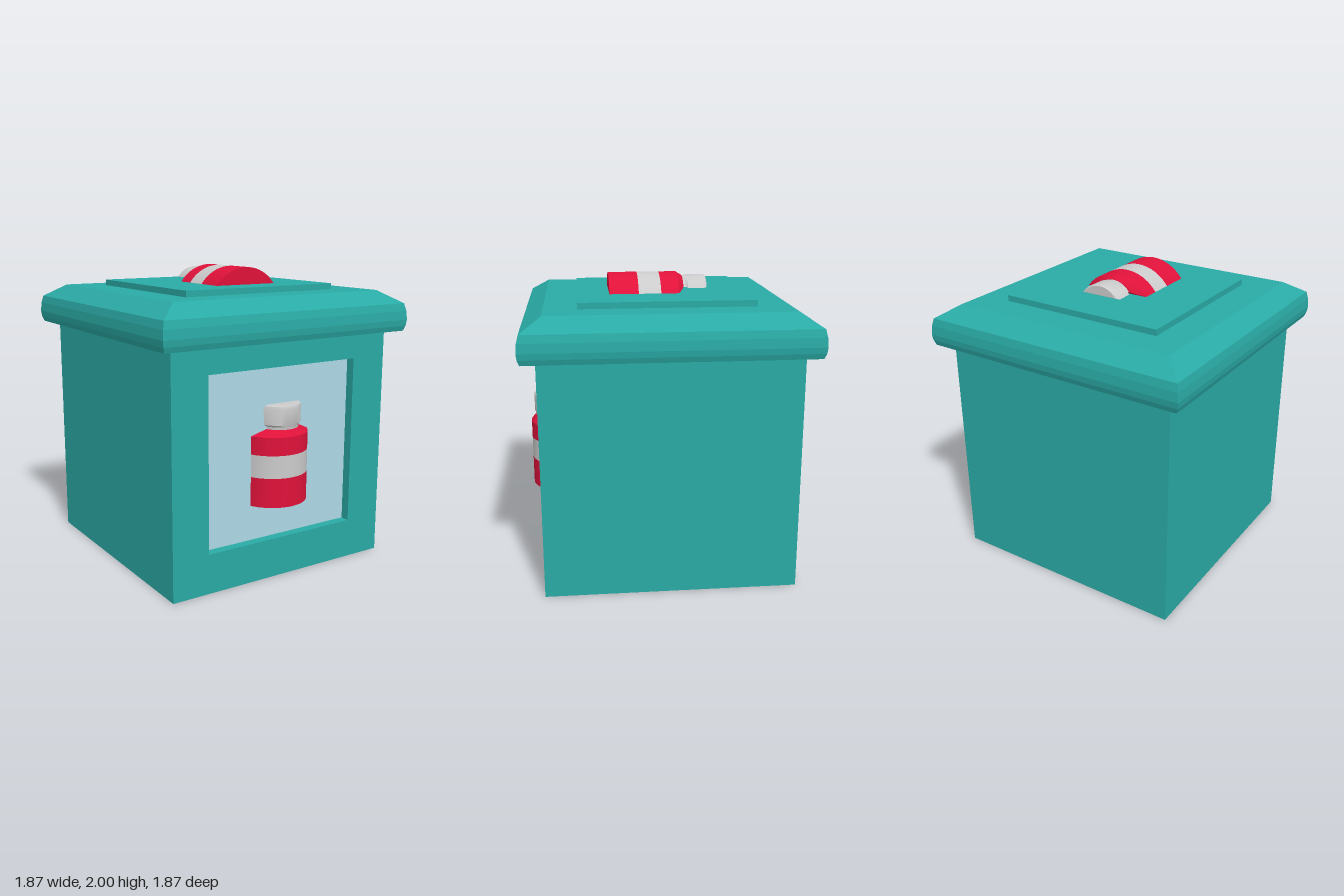
import * as THREE from 'three';
import { toCreasedNormals } from 'three/addons/utils/BufferGeometryUtils.js';

const mat = (color, extra = {}) => new THREE.MeshStandardMaterial({ color, ...extra });
const teal = mat(0x2aaaa5, { flatShading: true });
const paleBlue = mat(0xadd8e6);
const red = mat(0xe0123a);
const grey = mat(0xcccccc);

function add(parent, name, geometry, material, x = 0, y = 0, z = 0) {
  const mesh = new THREE.Mesh(geometry, material);
  mesh.name = name;
  mesh.position.set(x, y, z);
  parent.add(mesh);
  return mesh;
}

// Flat-backed dome section, scaled along y by a profile of [y, half width]
function loftDome(profile, width, depth, n = 20) {
  const R = (width * width + depth * depth) / (2 * depth);
  const a = Math.acos((R - depth) / R);
  const pos = [], idx = [], ring = n + 1;
  for (const [y, w] of profile) {
    const s = w / width;
    for (let j = 0; j <= n; j++) {
      const t = a * (2 * j / n - 1);
      pos.push(s * R * Math.sin(t), y, s * (R * (Math.cos(t) - Math.cos(a)) - depth / 2));
    }
  }
  const last = (profile.length - 1) * ring;
  for (let i = 0; i < last; i += ring) {
    for (let j = 0; j < ring; j++) {
      const k = (j + 1) % ring;
      idx.push(i + j, i + k, i + ring + k, i + j, i + ring + k, i + ring + j);
    }
  }
  for (let j = 1; j < n; j++) idx.push(0, j + 1, j, last, last + j, last + j + 1);
  const g = new THREE.BufferGeometry();
  g.setAttribute('position', new THREE.Float32BufferAttribute(pos, 3));
  g.setIndex(idx);
  return toCreasedNormals(g, 0.5);
}

// Half-relief bottle standing along y, bulging towards +z
function makeBottle(name, w, depth) {
  const bottle = new THREE.Group();
  bottle.name = name;
  const part = (n, profile, m) => add(bottle, n, loftDome(profile, w, depth), m);
  part('bottleBase', [[0, w], [0.195, w]], red);
  part('bottleLabel', [[0.195, w], [0.345, w]], grey);
  part('bottleShoulder', [[0.345, w], [0.465, w], [0.505, 0.13]], red);
  part('bottleCap', [[0.505, 0.122], [0.522, 0.124], [0.535, 0.143], [0.64, 0.146], [0.657, 0.138], [0.665, 0.122]], grey);
  return bottle;
}

export function createModel() {
  const model = new THREE.Group();
  model.name = 'box';

  // Body with a recessed window in the front
  const faceZ = 0.83, panelZ = 0.765, backZ = -0.835, top = 1.58;
  add(model, 'body', new THREE.BoxGeometry(1.66, top, panelZ - backZ), teal, 0, top / 2, (panelZ + backZ) / 2);
  const rect = (C, x0, y0, x1, y1) => new C([[x0, y0], [x1, y0], [x1, y1], [x0, y1]].map(p => new THREE.Vector2(...p)));
  const frame = rect(THREE.Shape, -0.83, 0, 0.83, top);
  frame.holes.push(rect(THREE.Path, -0.572, 0.265, 0.566, 1.405));
  add(model, 'frontFrame', new THREE.ExtrudeGeometry(frame, { depth: faceZ - panelZ, bevelEnabled: false }), teal, 0, 0, panelZ);
  add(model, 'windowPanel', new THREE.PlaneGeometry(1.14, 1.14), paleBlue, -0.003, 0.835, panelZ + 0.002);

  // Square lid with rounded sides and a sloped rim
  const profile = [[0, 1.575], [0.918, 1.575], [0.93, 1.61], [0.935, 1.65], [0.93, 1.71],
    [0.918, 1.76], [0.785, 1.845], [0, 1.845]].map(([r, y]) => new THREE.Vector2(r * Math.SQRT2, y));
  add(model, 'lid', new THREE.LatheGeometry(profile, 4).rotateY(Math.PI / 4), teal);
  add(model, 'lidPlate', new THREE.BoxGeometry(1.142, 0.05, 1.142), teal, 0, 1.86, 0);

  // One bottle in the window, one lying on the lid
  const frontBottle = makeBottle('frontBottle', 0.222, 0.148);
  frontBottle.position.set(0.007, 0.5, 0.841);
  const topBottle = makeBottle('topBottle', 0.228, 0.115);
  topBottle.rotation.x = -Math.PI / 2;
  topBottle.position.set(0.018, 1.9425, 0.355);
  model.add(frontBottle, topBottle);
  return model;
}
